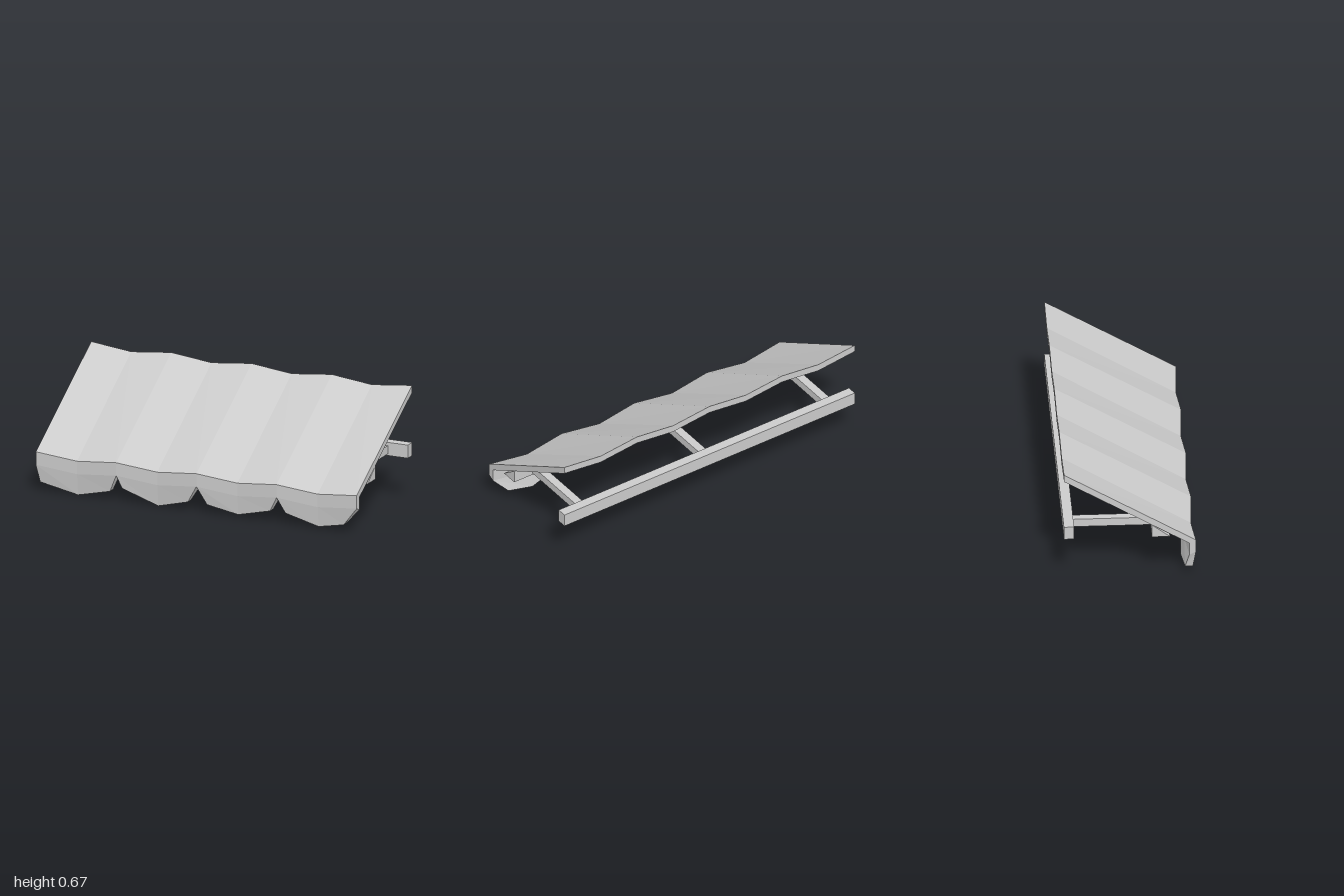
import * as THREE from 'three';

const material = new THREE.MeshStandardMaterial({ color: 0xcccccc, flatShading: true });

function addMesh(parent, name, geometry, x = 0, y = 0, z = 0) {
  const mesh = new THREE.Mesh(geometry, material);
  mesh.name = name;
  mesh.position.set(x, y, z);
  parent.add(mesh);
  return mesh;
}

// Closed cross-section of the sheet at x: outer side from back to hem, then inner side back again.
// drop and pull shift it down and back in the valleys; hem is the [x, y] of the lower edge.
function section(x, valley, [hemX, hemY]) {
  const drop = valley ? 0.028 : 0, pull = valley ? 0.015 : 0;
  const hemZ = 0.346 + 0.25 * hemY;
  return [
    [x, 0.678 - drop, -0.372],
    [x, 0.235 - drop, 0.375 - pull],
    [x, 0.158 - drop, 0.375 - pull],
    [hemX, hemY, hemZ],
    [hemX, hemY, hemZ - 0.045],
    [x, 0.14 - drop, 0.338 - pull],
    [x, 0.215 - drop, 0.338 - pull],
    [x, 0.635 - drop, -0.372],
  ];
}

// Wavy roof sheet with a scalloped front valance.
function canopyGeometry() {
  const positions = [];
  const quad = (a, b, c, d) => positions.push(...a, ...b, ...c, ...a, ...c, ...d);

  const loft = (left, right) => {
    for (let k = 0; k < 8; k++) {
      const n = (k + 1) % 8;
      quad(left[k], left[n], right[n], right[k]);
    }
  };
  // Close a peak edge: the notch side always, the full edge at the ends of the canopy.
  const cap = (s, facesLeft) => {
    const first = Math.abs(s[0][0]) > 0.99 ? 0 : 2;
    for (let k = first; k < 3; k++) {
      const face = [s[k], s[7 - k], s[6 - k], s[k + 1]];
      quad(...(facesLeft ? face : face.reverse()));
    }
  };

  // Hem corners of each scallop: left, middle, right.
  const scallops = [
    [[-0.98, 0.055], [-0.75, 0.004], [-0.545, 0.055]],
    [[-0.465, 0.085], [-0.25, 0.004], [-0.06, 0.055]],
    [[0.06, 0.055], [0.25, 0.018], [0.455, 0.07]],
    [[0.55, 0.07], [0.75, 0.012], [0.91, 0.045]],
  ];
  scallops.forEach(([hemLeft, hemMiddle, hemRight], i) => {
    const x = -1 + i * 0.5;
    const left = section(x, false, hemLeft);
    const middle = section(x + 0.25, true, hemMiddle);
    const right = section(x + 0.5, false, hemRight);
    loft(left, middle);
    loft(middle, right);
    cap(left, true);
    cap(right, false);
  });

  const geometry = new THREE.BufferGeometry();
  geometry.setAttribute('position', new THREE.Float32BufferAttribute(positions, 3));
  geometry.computeVertexNormals();
  return geometry;
}

// Triangular rail under the roof, extruded along x.
function wedgeGeometry() {
  const shape = new THREE.Shape([
    new THREE.Vector2(-0.228, 0.262),
    new THREE.Vector2(-0.125, 0.262),
    new THREE.Vector2(-0.125, 0.34),
  ]);
  const geometry = new THREE.ExtrudeGeometry(shape, { depth: 2, bevelEnabled: false });
  return geometry.translate(0, 0, -1).rotateY(Math.PI / 2);
}

export function createModel() {
  const model = new THREE.Group();
  model.name = 'awning';
  addMesh(model, 'canopy', canopyGeometry());

  // Supporting frame
  const frame = new THREE.Group();
  frame.name = 'frame';
  model.add(frame);
  addMesh(frame, 'wallRail', new THREE.BoxGeometry(2, 0.078, 0.058), 0, 0.301, -0.344);
  addMesh(frame, 'frontRail', wedgeGeometry().rotateY(Math.PI).scale(1, 1, 1), 0, 0, 0);
  for (const x of [-0.85, 0, 0.85]) {
    addMesh(frame, 'supportArm', new THREE.BoxGeometry(0.05, 0.048, 0.44), x, 0.296, -0.095);
  }

  // The wedge must lean toward the front whichever way it was extruded.
  const rail = frame.getObjectByName('frontRail');
  rail.geometry.computeBoundingBox();
  if (rail.geometry.boundingBox.max.z < 0) rail.geometry.rotateY(Math.PI);
  return model;
}
